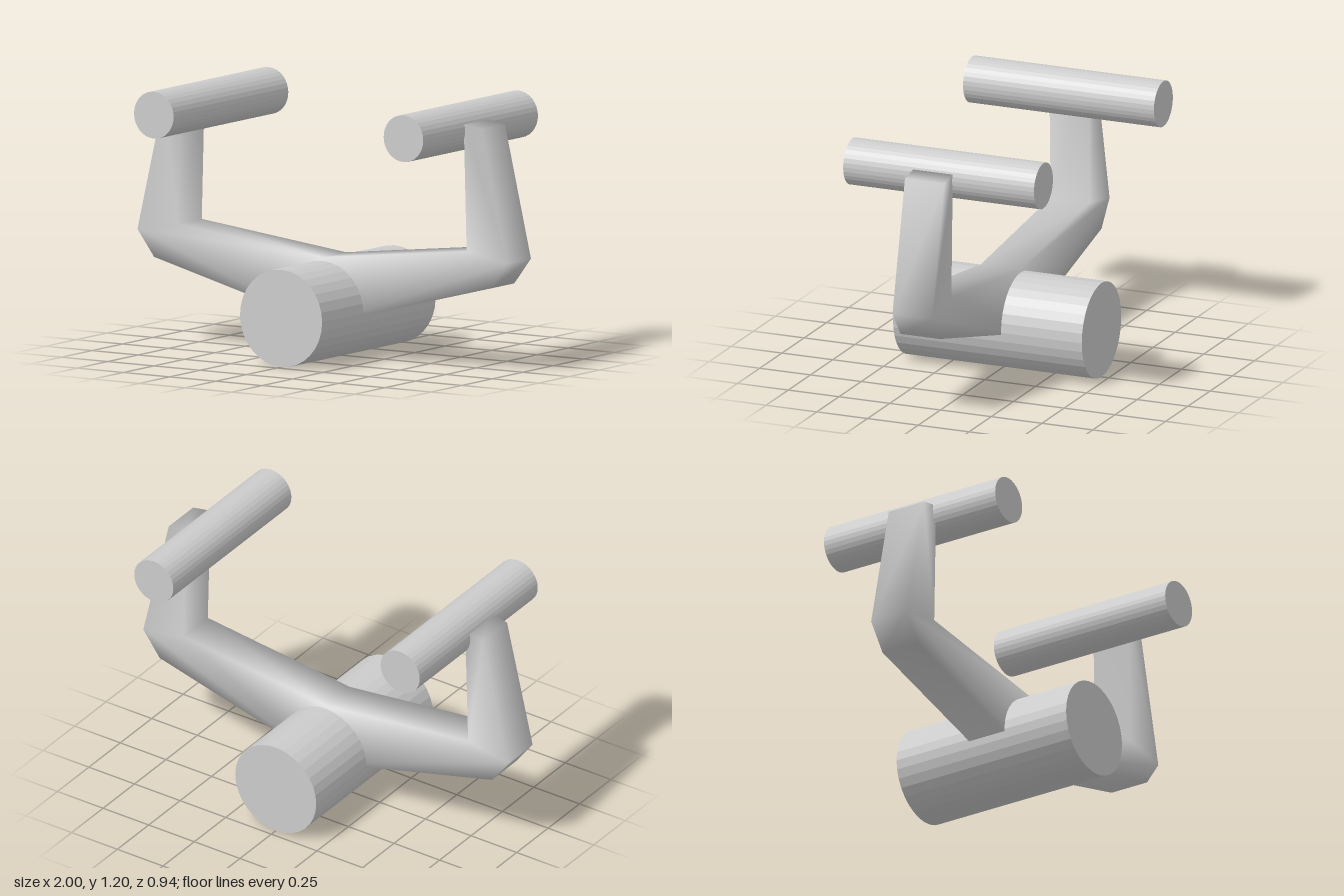
import * as THREE from 'three';
import { mergeVertices } from 'three/addons/utils/BufferGeometryUtils.js';

export function createModel() {
  const group = new THREE.Group();
  const flat = new THREE.MeshStandardMaterial({ color: 0xcccccc, flatShading: true });
  const smooth = new THREE.MeshStandardMaterial({ color: 0xcccccc });

  // Faceted cylinder lying along z
  function rod(name, radius, length, x, y) {
    const geo = new THREE.CylinderGeometry(radius, radius, length, 32).rotateX(Math.PI / 2);
    const mesh = new THREE.Mesh(geo, flat);
    mesh.name = name;
    mesh.position.set(x, y, 0);
    group.add(mesh);
  }
  rod('centralCylinder', 0.222, 0.93, 0, 0.222);
  rod('leftBar', 0.107, 0.94, 0.665, 1.095);
  rod('rightBar', 0.107, 0.94, -0.685, 1.095);

  // Bent arms: one outline, mirrored about x = 0, from centre bottom to the inner elbow
  const half = [[0.91, 0.39], [1, 0.51], [0.86, 1.11], [0.765, 1.127], [0.78, 0.55]];
  const outline = [
    [0, 0.155], ...half, [0, 0.46],
    ...half.map(([x, y]) => [-x, y]).reverse(),
  ].map(([x, y]) => new THREE.Vector2(x, y));
  let geo = new THREE.ExtrudeGeometry(new THREE.Shape(outline), { depth: 0.194, bevelEnabled: false });
  geo.translate(0, 0, -0.067);

  // Weld the corners so the shading rolls softly over the edges
  geo.deleteAttribute('normal');
  geo.deleteAttribute('uv');
  geo = mergeVertices(geo);
  geo.computeVertexNormals();
  const arms = new THREE.Mesh(geo, smooth);
  arms.name = 'arms';
  group.add(arms);

  return group;
}
